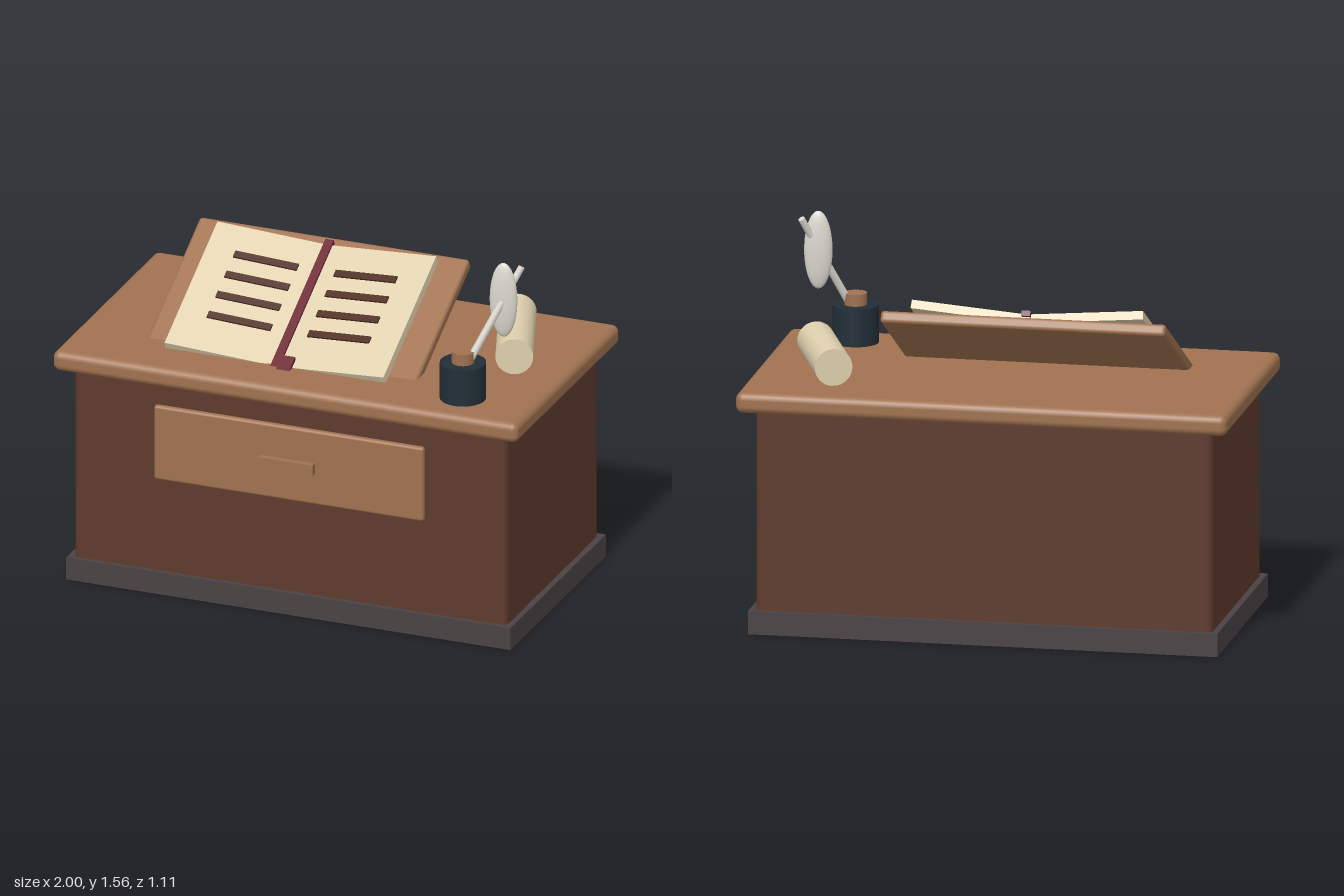
import * as THREE from 'three';
import { RoundedBoxGeometry } from 'three/addons/geometries/RoundedBoxGeometry.js';

const mat = (name, color) => Object.assign(new THREE.MeshStandardMaterial({ color }), { name });

export function createModel() {
  const lightWood = mat('light wood', 0xa07250);
  const darkWood = mat('dark wood', 0x5e3a2c);
  const plinthGrey = mat('plinth grey', 0x4a4244);
  const parchment = mat('parchment', 0xdfd0ae);
  const ribbonRed = mat('ribbon red', 0x6c2430);
  const inkBlue = mat('ink blue', 0x222e37);
  const featherWhite = mat('feather white', 0xdad7ce);
  const lineBrown = mat('line brown', 0x4e2c20);

  const model = new THREE.Group();
  model.name = 'writingDesk';

  const add = (parent, name, geometry, material, x, y, z) => {
    const mesh = new THREE.Mesh(geometry, material);
    mesh.name = name;
    mesh.position.set(x, y, z);
    parent.add(mesh);
    return mesh;
  };
  const box = (w, h, d) => new THREE.BoxGeometry(w, h, d);
  const rounded = (w, h, d, r) => new RoundedBoxGeometry(w, h, d, 3, r);

  // Desk
  add(model, 'plinth', box(1.91, 0.095, 1.02), plinthGrey, 0, 0.0475, 0);
  add(model, 'body', rounded(1.86, 0.87, 0.98, 0.025), darkWood, 0, 0.505, 0);
  add(model, 'deskTop', rounded(2, 0.085, 1.11, 0.03), lightWood, 0, 0.9575, 0);
  add(model, 'drawerFront', rounded(1.16, 0.32, 0.04, 0.012), lightWood, 0, 0.655, 0.49);
  add(model, 'drawerHandle', box(0.23, 0.046, 0.035), lightWood, 0, 0.653, 0.518);

  // Sloped reading board carrying the open book; its top face is local y = 0
  const lectern = new THREE.Group();
  lectern.name = 'lectern';
  lectern.position.set(-0.12, 1.15, 0);
  lectern.rotation.x = 0.49;
  model.add(lectern);
  add(lectern, 'readingBoard', rounded(1.16, 0.05, 0.7, 0.015), lightWood, 0, -0.025, 0.026);

  // Two pages rising outward from the spine, each with four written lines
  for (const side of [-1, 1]) {
    const page = new THREE.Group();
    page.name = side < 0 ? 'rightPage' : 'leftPage';
    page.position.y = 0.027;
    page.rotation.z = side * 0.08;
    lectern.add(page);
    add(page, 'pageBlock', box(0.472, 0.035, 0.64), parchment, side * 0.236, -0.0175, 0.059);
    for (let i = 0; i < 4; i++) {
      add(page, 'writtenLine', box(0.27, 0.009, 0.032), lineBrown, side * 0.215, 0.003, -0.118 + i * 0.106);
    }
  }

  // Ribbon marker with its tail
  add(lectern, 'ribbon', box(0.036, 0.022, 0.67), ribbonRed, 0, 0.027, 0.055);
  add(lectern, 'ribbonTail', box(0.056, 0.02, 0.075), ribbonRed, 0.044, 0.038, 0.372);

  // Inkwell and stopper
  add(model, 'inkwell', new THREE.CylinderGeometry(0.093, 0.093, 0.155, 28), inkBlue, 0.695, 1.0775, 0.37);
  add(model, 'inkwellNeck', new THREE.CylinderGeometry(0.046, 0.046, 0.05, 16), lightWood, 0.695, 1.178, 0.37);

  // Quill: slanted shaft and flat oval feather
  const foot = new THREE.Vector3(0.725, 1.17, 0.365);
  const tip = new THREE.Vector3(0.884, 1.535, 0.213);
  const along = tip.clone().sub(foot);
  const middle = foot.clone().add(tip).multiplyScalar(0.5);
  const shaft = add(model, 'quillShaft', new THREE.CylinderGeometry(0.014, 0.016, along.length(), 12),
    featherWhite, middle.x, middle.y, middle.z);
  shaft.quaternion.setFromUnitVectors(new THREE.Vector3(0, 1, 0), along.normalize());
  const feather = add(model, 'quillFeather', new THREE.SphereGeometry(1, 24, 16), featherWhite, 0.824, 1.4, 0.257);
  feather.scale.set(0.057, 0.16, 0.026);
  feather.rotation.y = 0.15;

  // Rolled scroll lying on the desk
  const scroll = add(model, 'scroll', new THREE.CylinderGeometry(0.076, 0.076, 0.46, 28).rotateX(Math.PI / 2),
    parchment, 0.717, 1.075, -0.141);
  scroll.rotation.y = 0.354;

  return model;
}
